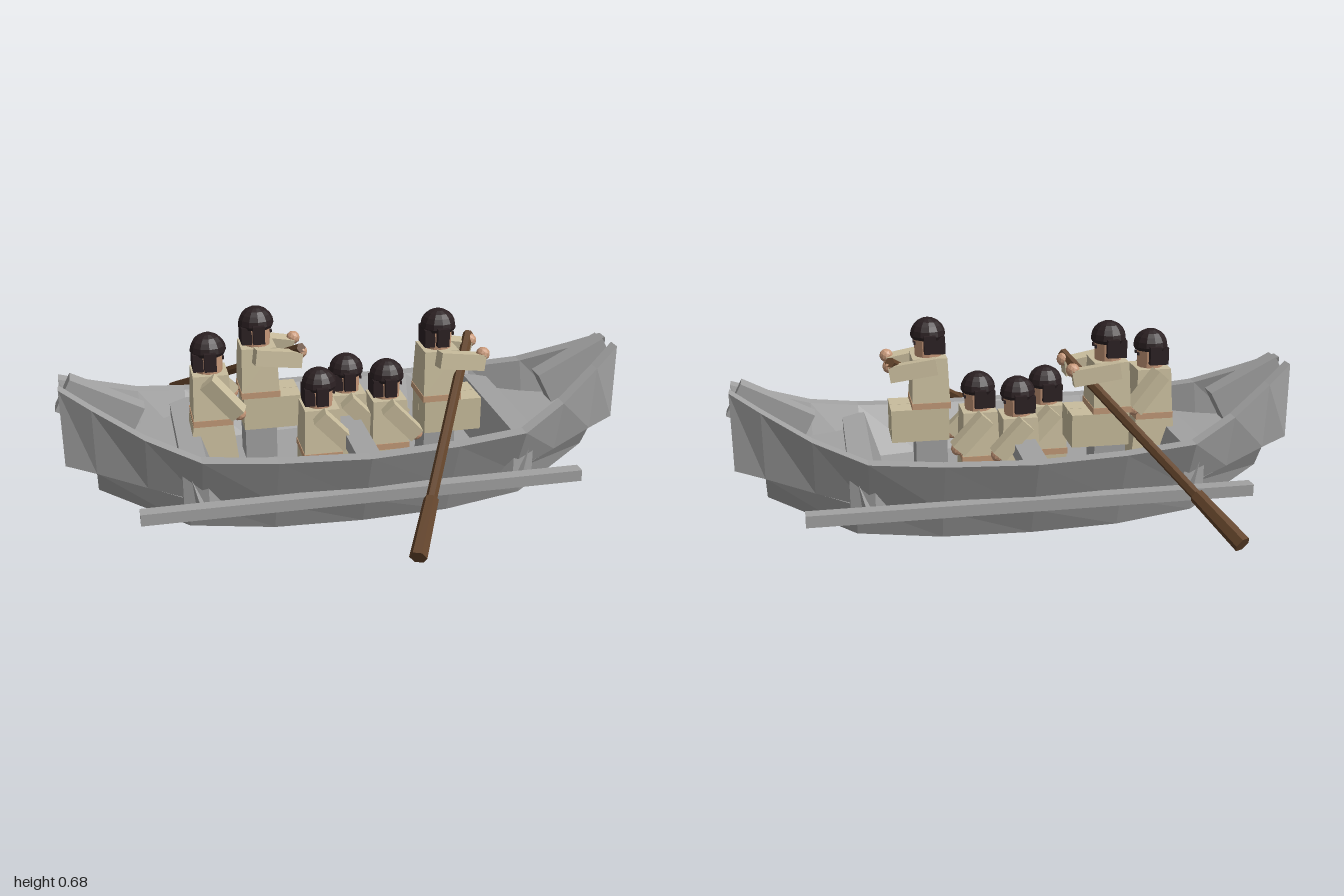
import * as THREE from 'three';

const mat = (name, color) => {
  const m = new THREE.MeshStandardMaterial({ color, flatShading: true });
  m.name = name;
  return m;
};

// Closed solid through [x, ring of [z, y]] sections, ordered by rising x
function loft(sections) {
  const list = [...sections].sort((a, b) => a[0] - b[0]);
  const first = list[0][1];
  let area = 0;
  first.forEach(([z, y], i) => {
    const [z2, y2] = first[(i + 1) % first.length];
    area += y * z2 - y2 * z;
  });
  const rings = list.map(([x, r]) => {
    const pts = r.map(([z, y]) => [x, y, z]);
    return area < 0 ? pts.reverse() : pts;
  });
  const out = [], n = first.length;
  const tri = (a, b, c) => out.push(...a, ...b, ...c);
  for (let i = 0; i < rings.length - 1; i++) {
    for (let j = 0; j < n; j++) {
      const k = (j + 1) % n, A = rings[i], B = rings[i + 1];
      tri(A[j], A[k], B[k]);
      tri(A[j], B[k], B[j]);
    }
  }
  const s = rings[0], e = rings[rings.length - 1];
  for (let j = 1; j < n - 1; j++) {
    tri(s[0], s[j + 1], s[j]);
    tri(e[0], e[j], e[j + 1]);
  }
  const g = new THREE.BufferGeometry();
  g.setAttribute('position', new THREE.Float32BufferAttribute(out, 3));
  g.computeVertexNormals();
  return g;
}

// Box whose top is scaled in depth (x) and width (z)
function taperBox(d, h, w, topX, topZ) {
  const g = new THREE.BoxGeometry(d, h, w), p = g.attributes.position;
  for (let i = 0; i < p.count; i++) {
    if (p.getY(i) > 0) p.setXYZ(i, p.getX(i) * topX, p.getY(i), p.getZ(i) * topZ);
  }
  g.computeVertexNormals();
  return g;
}

export function createModel() {
  const model = new THREE.Group();
  const grey = mat('hullGrey', 0xa2a2a2);
  const cloth = mat('tanCloth', 0xc9bd9d);
  const skin = mat('skin', 0xc8997a);
  const sash = mat('sash', 0xc39a78);
  const hair = mat('darkHair', 0x2b2022);
  const wood = mat('brownWood', 0x62432a);

  const add = (parent, name, geo, material, x = 0, y = 0, z = 0) => {
    const m = new THREE.Mesh(geo, material);
    m.name = name;
    m.position.set(x, y, z);
    parent.add(m);
    return m;
  };
  const UP = new THREE.Vector3(0, 1, 0);
  // Stand a y-aligned mesh between two points
  const span = (mesh, a, b) => {
    mesh.position.copy(a).lerp(b, 0.5);
    mesh.quaternion.setFromUnitVectors(UP, b.clone().sub(a).normalize());
    return mesh;
  };
  const V = (x, y, z) => new THREE.Vector3(x, y, z);

  // ---- Hull ----
  const boat = new THREE.Group();
  boat.name = 'boat';
  model.add(boat);
  const bothEnds = (rows) => rows.flatMap((r) => (r[0] ? [r, [-r[0], ...r.slice(1)]] : [r]));

  // x, gunwale z, gunwale y, lower edge z, lower edge y
  const sideRows = bothEnds([
    [0, 0.385, 0.29, 0.30, 0.10], [0.30, 0.366, 0.295, 0.285, 0.11],
    [0.54, 0.343, 0.31, 0.255, 0.13], [0.71, 0.24, 0.36, 0.185, 0.165],
    [0.87, 0.14, 0.437, 0.115, 0.2], [0.97, 0.075, 0.49, 0.075, 0.22],
  ]);
  for (const s of [1, -1]) {
    add(boat, 'sidePlanking', loft(sideRows.map(([x, gz, gy, lz, ly]) =>
      [x, [[s * gz, gy], [s * lz, ly], [s * (lz - 0.05), ly], [s * (gz - 0.05), gy]]])), grey);
    // Side rail with its small pegs
    add(boat, 'sideRail', new THREE.BoxGeometry(1.49, 0.04, 0.045), grey, 0, 0.137, s * 0.333);
    for (const e of [1, -1]) {
      const peg = add(boat, 'railPeg', new THREE.ConeGeometry(0.015, 0.1, 4), grey, e * 0.56, 0.18, s * 0.29);
      peg.rotation.z = -e * 0.25;
      add(boat, 'railBracket', new THREE.BoxGeometry(0.05, 0.015, 0.08), grey, e * 0.56, 0.112, s * 0.27);
    }
  }
  // x, top z, top y, bottom z, bottom y
  const lowerRows = bothEnds([
    [0, 0.30, 0.10, 0.255, 0], [0.30, 0.285, 0.11, 0.245, 0.003],
    [0.58, 0.238, 0.135, 0.20, 0.018], [0.87, 0.11, 0.2, 0.05, 0.11],
  ]);
  add(boat, 'hullBottom', loft(lowerRows.map(([x, tz, ty, bz, by]) =>
    [x, [[tz, ty], [bz, by], [-bz, by], [-tz, ty]]])), grey);
  const slab = (z, lo, hi) => [[z, hi], [z, lo], [-z, lo], [-z, hi]];
  add(boat, 'floor', loft([[-0.5, slab(0.23, 0.09, 0.135)], [0, slab(0.28, 0.09, 0.135)], [0.5, slab(0.23, 0.09, 0.135)]]), grey);
  add(boat, 'middleThwart', new THREE.BoxGeometry(0.08, 0.05, 0.67), grey, 0, 0.26, 0);
  for (const e of [1, -1]) {
    add(boat, 'endBench', loft([[e * 0.47, slab(0.26, 0.1, 0.135)], [e * 0.52, slab(0.29, 0.1, 0.285)],
      [e * 0.6, slab(0.26, 0.13, 0.285)]]), grey);
    add(boat, 'endDeck', loft([[e * 0.59, slab(0.25, 0.2, 0.245)], [e * 0.95, slab(0.05, 0.21, 0.26)]]), grey);
    const block = add(boat, 'stemBlock', new THREE.BoxGeometry(0.265, 0.12, 0.07), grey, e * 0.842, 0.393, 0);
    block.rotation.z = e * 0.48;
  }

  // ---- People, all facing +x; y is the hip height ----
  function person(name, x, y, z, pose) {
    const p = new THREE.Group();
    p.name = name;
    p.position.set(x, y, z);
    model.add(p);
    add(p, 'torso', taperBox(0.13, 0.155, 0.15, 0.92, 0.8), cloth, 0, 0.0775, 0);
    add(p, 'sash', new THREE.BoxGeometry(0.134, 0.022, 0.154), sash, 0, -0.009, 0);
    // Head, hair cap, back hair and side braids
    add(p, 'head', new THREE.CylinderGeometry(0.05, 0.046, 0.09, 12), skin, 0, 0.198, 0);
    const cap = add(p, 'hairCap', new THREE.SphereGeometry(0.061, 12, 5, 0, Math.PI * 2, 0, Math.PI / 2), hair, 0, 0.228, 0);
    cap.scale.y = 0.98;
    add(p, 'hairUnderside', new THREE.CylinderGeometry(0.061, 0.055, 0.012, 12), hair, 0, 0.222, 0);
    add(p, 'backHair', new THREE.BoxGeometry(0.035, 0.06, 0.085), hair, -0.038, 0.195, 0);
    for (const s of [1, -1]) {
      add(p, 'braid', new THREE.BoxGeometry(0.04, 0.062, 0.022), hair, 0, 0.205, s * 0.063);
      add(p, 'eye', new THREE.BoxGeometry(0.006, 0.01, 0.012), hair, 0.048, 0.203, s * 0.017);
      // Arm and hand
      const reach = pose === 'rowing' ? V(0.14, 0.14, s * 0.072)
        : pose === 'standing' ? V(0.085, 0.03, s * 0.1) : V(0.085, 0.04, s * 0.09);
      const shoulder = V(-0.005, 0.135, s * 0.085);
      const cuff = reach.clone().lerp(shoulder, 0.1);
      if (pose === 'rowing') cuff.y -= 0.025;
      span(add(p, 'sleeve', new THREE.BoxGeometry(0.055, shoulder.distanceTo(cuff) + 0.03, 0.05), cloth), shoulder, cuff);
      add(p, 'hand', new THREE.IcosahedronGeometry(0.024, 1), skin, reach.x, reach.y, reach.z);
    }
    // Lower body
    if (pose === 'standing') {
      add(p, 'skirt', taperBox(0.18, 0.2, 0.18, 0.75, 0.83), cloth, 0, -0.12, 0);
    } else if (pose === 'rowing') {
      for (const s of [1, -1]) {
        add(p, 'seatedLeg', new THREE.BoxGeometry(0.2, 0.115, 0.076), cloth, 0.04, -0.077, s * 0.039);
      }
      add(p, 'seat', new THREE.BoxGeometry(0.11, 0.13, 0.11), grey, 0, -0.195, 0);
    } else {
      add(p, 'shortLegs', new THREE.BoxGeometry(0.13, 0.08, 0.15), cloth, 0, -0.06, 0);
    }
  }
  person('standingAdult', -0.475, 0.337, 0, 'standing');
  [[-0.11, 0.06], [0.01, -0.055], [0.135, 0.03]].forEach(([x, z]) => person('child', x, 0.205, z, 'child'));

  // ---- Rowers and their oars, one per side ----
  for (const [x, s] of [[0.3, 1], [-0.3, -1]]) {
    person('rower', x, 0.392, s * 0.08, 'rowing');
    const top = V(x + 0.14, 0.55, -s * 0.01), tip = V(x - 0.25, 0.135, s * 0.76);
    const length = top.distanceTo(tip), neck = tip.clone().lerp(top, 0.23);
    span(add(model, 'oarShaft', new THREE.CylinderGeometry(0.018, 0.018, length, 6), wood), top, tip);
    span(add(model, 'oarBlade', new THREE.CylinderGeometry(0.024, 0.028, neck.distanceTo(tip), 6), wood), tip, neck);
  }
  return model;
}
